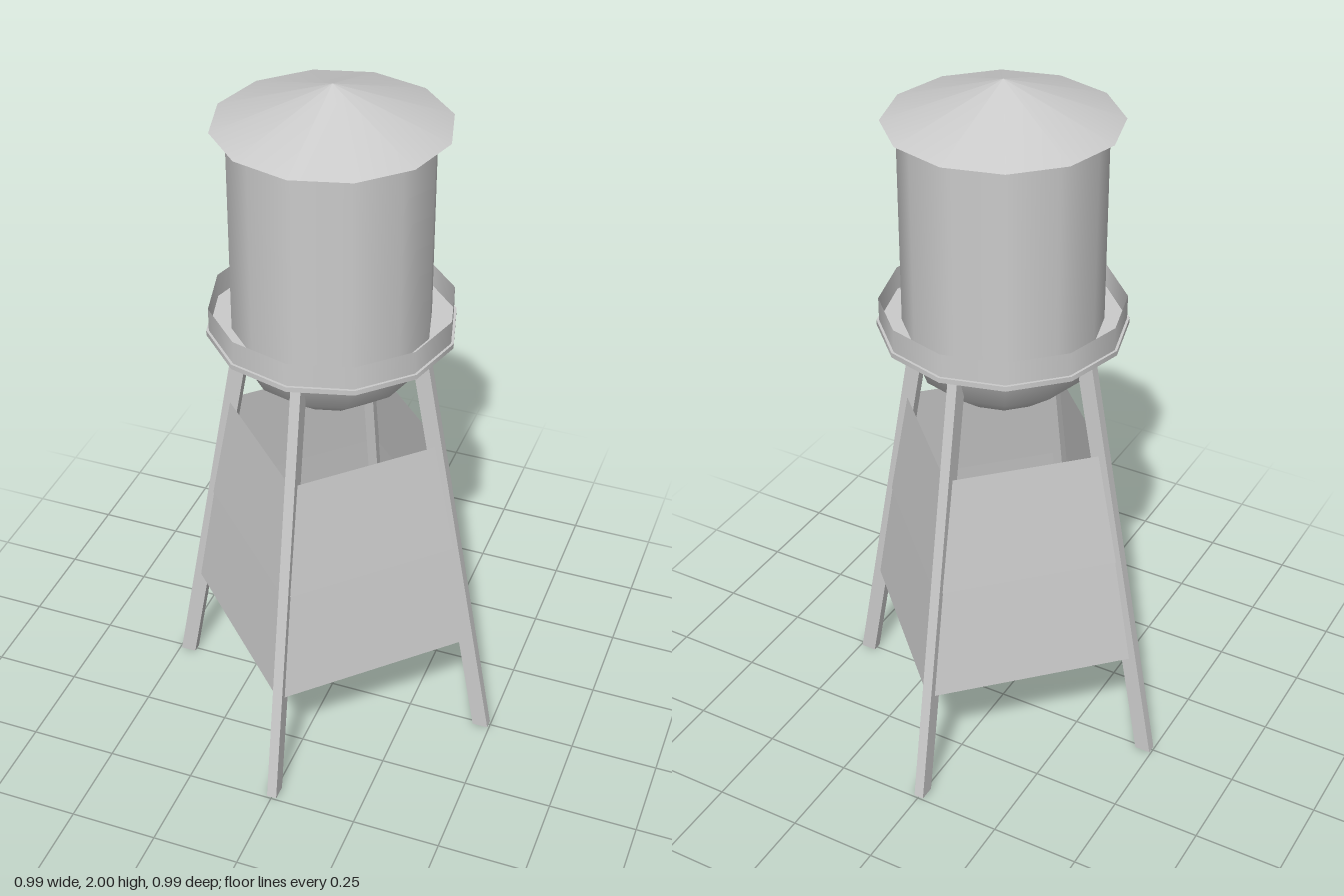
import * as THREE from 'three';

const material = new THREE.MeshStandardMaterial({ color: 0xcccccc, side: THREE.DoubleSide });
const flatMaterial = new THREE.MeshStandardMaterial({ color: 0xcccccc, side: THREE.DoubleSide, flatShading: true });
const SIDES = 12;

function add(parent, name, geometry, mat = material) {
  const mesh = new THREE.Mesh(geometry, mat);
  mesh.name = name;
  parent.add(mesh);
  return mesh;
}

// Twelve-sided turned part from [radius, height] pairs, listed bottom to top
function turned(profile) {
  return new THREE.LatheGeometry(profile.map(([r, y]) => new THREE.Vector2(r, y)), SIDES);
}

// Four-cornered sheet spanning two neighbouring legs (+x and +z)
function panelGeometry(r0, y0, r1, y1) {
  const geometry = new THREE.BufferGeometry();
  geometry.setAttribute('position', new THREE.Float32BufferAttribute(
    [0, y0, r0, r0, y0, 0, r1, y1, 0, 0, y1, r1], 3));
  geometry.setIndex([0, 1, 2, 0, 2, 3]);
  geometry.computeVertexNormals();
  return geometry;
}

// Leaning leg: a box sheared inward with height
function legGeometry() {
  const height = 1.3;
  const geometry = new THREE.BoxGeometry(0.045, height, 0.028);
  geometry.translate(0.4725, height / 2, 0);
  const p = geometry.attributes.position;
  for (let i = 0; i < p.count; i++) p.setX(i, p.getX(i) - 0.178 * p.getY(i));
  geometry.computeVertexNormals();
  return geometry;
}

export function createModel() {
  const tower = new THREE.Group();
  tower.name = 'waterTower';

  // Tank with rounded bottom
  const tank = new THREE.Group();
  tank.name = 'tank';
  tower.add(tank);
  add(tank, 'tankWall', turned([[0.268, 1.3], [0.268, 1.89]]));
  const bowl = [];
  for (let i = 0; i <= 3; i++) {
    const a = (i / 3) * Math.PI / 2;
    bowl.push([0.268 * Math.sin(a), 1.3 - 0.212 * Math.cos(a)]);
  }
  add(tank, 'tankBottom', turned(bowl));

  // Conical roof with a thin overhanging rim
  add(tank, 'roof', turned([[0.308, 1.892], [0, 2]]));
  add(tank, 'roofRim', turned([[0.29, 1.885], [0.308, 1.892]]));
  add(tank, 'roofUnderside', turned([[0, 1.885], [0.29, 1.885]]));

  // Walkway floor and its solid railing
  const walkway = new THREE.Group();
  walkway.name = 'walkway';
  tower.add(walkway);
  add(walkway, 'floorUnderside', turned([[0.26, 1.305], [0.335, 1.305]]));
  add(walkway, 'floorEdge', turned([[0.335, 1.305], [0.335, 1.319]]));
  add(walkway, 'floorTop', turned([[0.335, 1.319], [0.26, 1.319]]));
  add(walkway, 'railing', turned([[0.328, 1.319], [0.328, 1.385]]));

  // Four legs with two slightly overlapping panels on each side
  const leg = legGeometry();
  const lowerPanel = panelGeometry(0.43, 0.325, 0.371, 0.67);
  const upperPanel = panelGeometry(0.377, 0.65, 0.313, 0.985);
  for (let i = 0; i < 4; i++) {
    const side = new THREE.Group();
    side.name = 'supportSide' + (i + 1);
    side.rotation.y = i * Math.PI / 2;
    add(side, 'leg', leg, flatMaterial);
    add(side, 'lowerPanel', lowerPanel, flatMaterial);
    add(side, 'upperPanel', upperPanel, flatMaterial);
    tower.add(side);
  }
  return tower;
}
